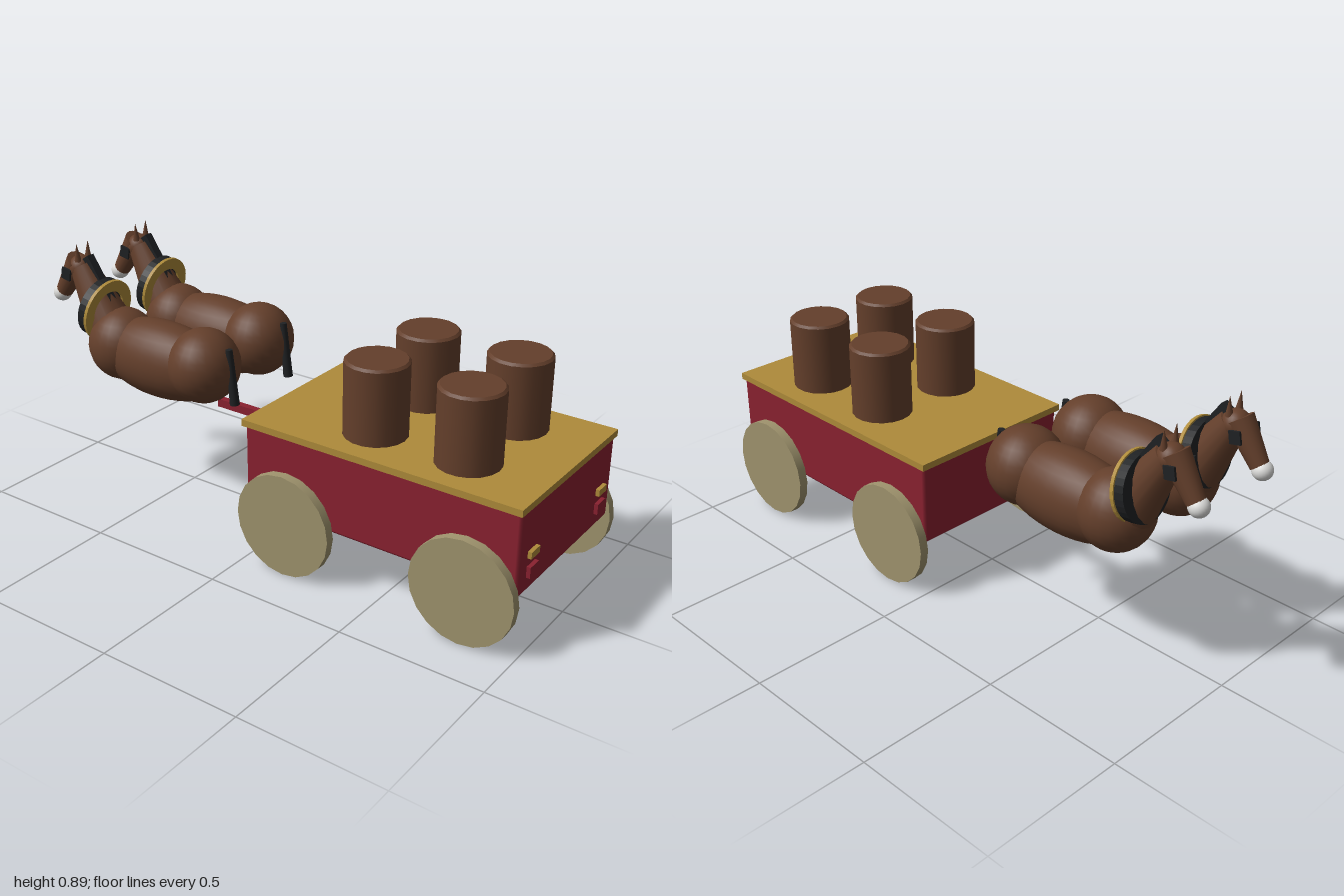
import * as THREE from 'three';
import { RoundedBoxGeometry } from 'three/addons/geometries/RoundedBoxGeometry.js';

const mat = (name, color, side = THREE.FrontSide) => {
  const m = new THREE.MeshStandardMaterial({ color, side });
  m.name = name;
  return m;
};

export function createModel() {
  const red = mat('wagon red', 0x8a2130);
  const gold = mat('ochre', 0xae8b3a);
  const brown = mat('chestnut brown', 0x643f2b);
  const tan = mat('wheel tan', 0x9f936d);
  const black = mat('harness black', 0x1f2123);
  const white = mat('muzzle white', 0xdcdcda);
  const mud = mat('dark brown', 0x3a2418);

  const add = (parent, name, geo, material, x = 0, y = 0, z = 0) => {
    const m = new THREE.Mesh(geo, material);
    m.name = name;
    m.position.set(x, y, z);
    parent.add(m);
    return m;
  };
  const box = (w, h, d) => new THREE.BoxGeometry(w, h, d);
  const ball = (p, name, material, x, y, z, rx, ry, rz) =>
    add(p, name, new THREE.SphereGeometry(1, 24, 16), material, x, y, z).scale.set(rx, ry, rz);
  // Tapered round limb between two points in the horse's middle plane, given as [y, z]
  const limb = (p, name, material, a, b, ra, rb, sx = 1) => {
    const from = new THREE.Vector3(0, ...a), to = new THREE.Vector3(0, ...b);
    const dir = to.clone().sub(from);
    const m = add(p, name, new THREE.CylinderGeometry(rb, ra, dir.length(), 16), material);
    m.position.copy(from).addScaledVector(dir, 0.5);
    m.quaternion.setFromUnitVectors(new THREE.Vector3(0, 1, 0), dir.normalize());
    m.scale.x = sx;
    return m;
  };
  // Flat ring for the collar
  const ring = (outer, inner, depth) => {
    const s = new THREE.Shape().absarc(0, 0, outer, 0, Math.PI * 2);
    s.holes.push(new THREE.Path().absarc(0, 0, inner, 0, Math.PI * 2, true));
    return new THREE.ExtrudeGeometry(s, { depth, bevelEnabled: false, curveSegments: 16 });
  };

  const model = new THREE.Group();
  model.name = 'horseDrawnWagon';

  // Wagon
  const wagon = new THREE.Group();
  wagon.name = 'wagon';
  model.add(wagon);
  add(wagon, 'wagonBody', new RoundedBoxGeometry(0.622, 0.29, 0.985, 1, 0.01), red, 0, 0.345, 0.4925);
  add(wagon, 'deck', box(0.64, 0.023, 1), gold, 0, 0.4915, 0.49);
  add(wagon, 'drawPole', box(0.025, 0.03, 0.38), red, 0, 0.35, -0.175);

  for (const s of [-1, 1]) {
    add(wagon, 'upperRearLamp', box(0.053, 0.023, 0.015), gold, s * 0.2295, 0.327, 0.9905);
    add(wagon, 'lowerRearLamp', box(0.053, 0.037, 0.015), red, s * 0.2295, 0.269, 0.9905);
    for (const z of [0.165, 0.82]) {
      const wheel = new THREE.Group();
      wheel.name = 'wheel';
      wheel.position.set(s * 0.328, 0.18, z);
      wheel.rotation.z = Math.PI / 2;
      wagon.add(wheel);
      add(wheel, 'wheelDisc', new THREE.CylinderGeometry(0.179, 0.179, 0.032, 20), tan);
      // Dark patch where the rim meets the ground
      add(wheel, 'rimContact', new THREE.CylinderGeometry(0.18, 0.18, 0.032, 4, 1, true,
        -Math.PI / 2 - Math.PI / 5, Math.PI * 0.4), mud);
    }
    // Barrels with a small chamfer at the lid
    for (const z of [0.39, 0.72]) {
      const profile = [[0, 0], [0.105, 0], [0.105, 0], [0.105, 0.247], [0.105, 0.247], [0.097, 0.255], [0.097, 0.255], [0, 0.255]];
      add(wagon, 'barrel', new THREE.LatheGeometry(profile.map(p => new THREE.Vector2(...p)), 18), brown, s * 0.15, 0.502, z);
    }
  }

  // Horses facing away from the wagon
  const makeHorse = () => {
    const h = new THREE.Group();
    h.name = 'horse';
    ball(h, 'rump', brown, 0, 0.557, -0.305, 0.13, 0.13, 0.125);
    ball(h, 'belly', brown, 0, 0.535, -0.49, 0.121, 0.138, 0.28);
    ball(h, 'chest', brown, 0, 0.55, -0.675, 0.123, 0.13, 0.125);
    limb(h, 'neck', brown, [0.58, -0.72], [0.8, -0.855], 0.09, 0.047, 0.95);
    ball(h, 'poll', brown, 0, 0.795, -0.86, 0.046, 0.045, 0.045);
    limb(h, 'head', brown, [0.815, -0.87], [0.69, -0.955], 0.047, 0.031, 0.95);
    ball(h, 'muzzle', white, 0, 0.68, -0.966, 0.033, 0.032, 0.033);
    const mane = add(h, 'mane', box(0.03, 0.19, 0.045), black, 0, 0.758, -0.778);
    mane.rotation.x = -0.6;
    const tail = limb(h, 'tail', black, [0.64, -0.195], [0.445, -0.175], 0.012, 0.017);
    tail.name = 'tail';

    // Harness collar
    const collar = new THREE.Group();
    collar.name = 'collar';
    collar.position.set(0, 0.66, -0.752);
    collar.rotation.x = 0.2;
    h.add(collar);
    add(collar, 'collarPad', ring(0.108, 0.068, 0.035), black, 0, 0, -0.033);
    add(collar, 'collarHoop', ring(0.113, 0.072, 0.012), gold);

    for (const s of [-1, 1]) {
      const ear = add(h, 'ear', new THREE.ConeGeometry(0.013, 0.065, 8), brown, s * 0.026, 0.856, -0.85);
      ear.rotation.z = -s * 0.06;
      const blinker = add(h, 'blinker', box(0.008, 0.042, 0.04), black, s * 0.046, 0.775, -0.892);
      blinker.rotation.x = 0.2;
    }
    return h;
  };
  for (const s of [-1, 1]) {
    const horse = makeHorse();
    horse.position.x = s * 0.15;
    model.add(horse);
  }
  return model;
}
